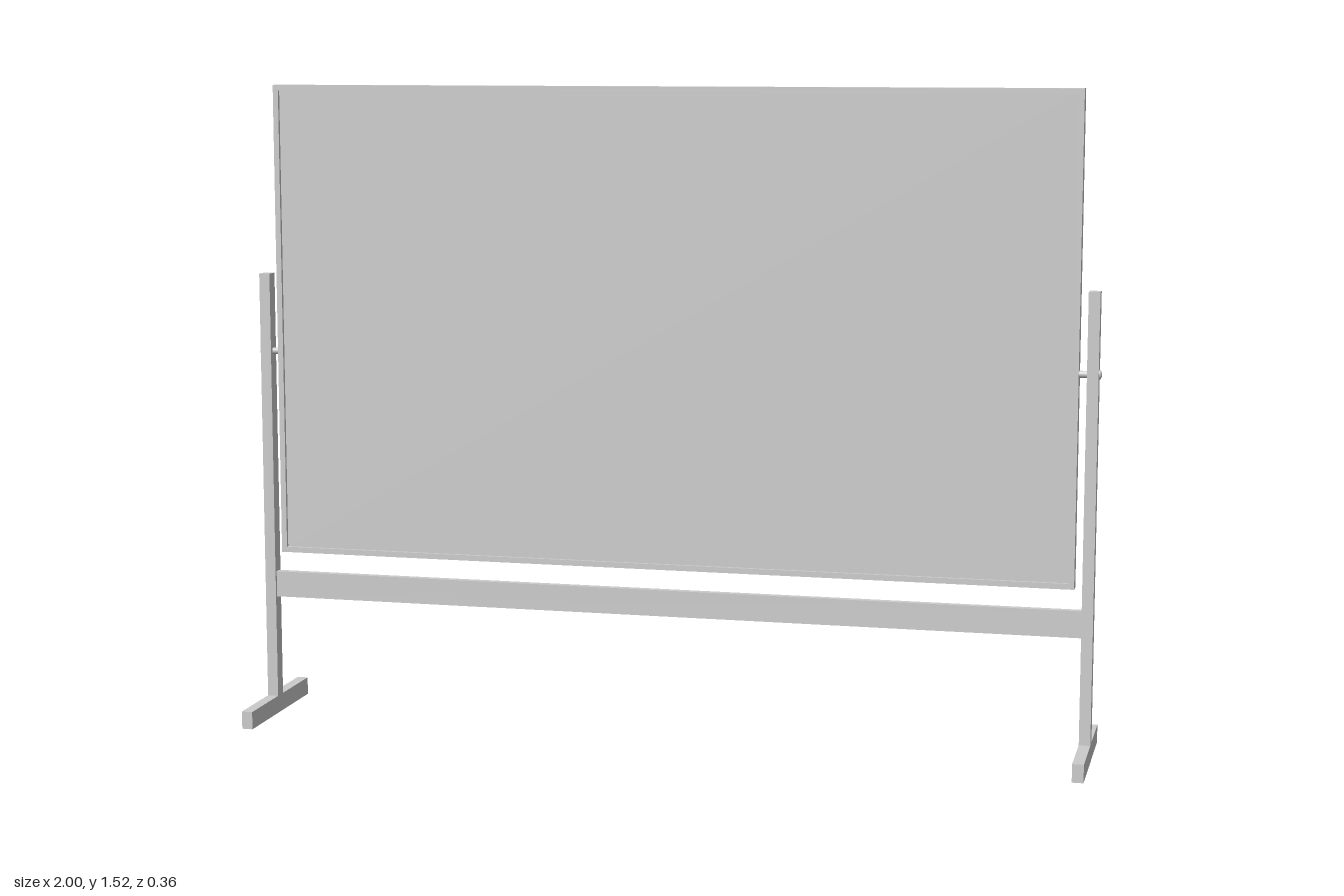
import * as THREE from 'three';

const material = new THREE.MeshStandardMaterial({ color: 0xcccccc });

function add(parent, name, geometry, x = 0, y = 0, z = 0) {
  const mesh = new THREE.Mesh(geometry, material);
  mesh.name = name;
  mesh.position.set(x, y, z);
  parent.add(mesh);
  return mesh;
}

// Rectangle centred on the origin, as a Shape or a hole Path
function rect(Type, w, h) {
  return new Type([[-1, -1], [1, -1], [1, 1], [-1, 1]].map(([x, y]) => new THREE.Vector2(x * w / 2, y * h / 2)));
}

export function createModel() {
  const model = new THREE.Group();
  model.name = 'mobileBoard';

  // Board: a shallow frame standing proud of the writing panel at the front
  const boardW = 1.9, boardH = 1.12, boardY = 0.96, depth = 0.032, recess = 0.008, rim = 0.013;
  const board = new THREE.Group();
  board.name = 'board';
  board.position.y = boardY;
  model.add(board);
  const frame = rect(THREE.Shape, boardW, boardH);
  frame.holes.push(rect(THREE.Path, boardW - 2 * rim, boardH - 2 * rim));
  add(board, 'boardFrame', new THREE.ExtrudeGeometry(frame, { depth: recess, bevelEnabled: false }), 0, 0, depth / 2 - recess);
  add(board, 'writingPanel', new THREE.BoxGeometry(boardW, boardH, depth - recess), 0, 0, -recess / 2);

  // Cross rail joining the two stands
  add(model, 'crossRail', new THREE.BoxGeometry(1.936, 0.062, 0.018), 0, 0.319, 0);

  // Stand profile: upright and foot in one inverted T
  const profile = new THREE.Shape([
    [-0.18, 0], [0.18, 0], [0.18, 0.042], [0.016, 0.042],
    [0.016, 1.073], [-0.016, 1.073], [-0.016, 0.042], [-0.18, 0.042],
  ].map(([x, y]) => new THREE.Vector2(x, y)));
  const width = 0.026;
  const standGeometry = new THREE.ExtrudeGeometry(profile, { depth: width, bevelEnabled: false });
  standGeometry.translate(0, 0, -width / 2).rotateY(Math.PI / 2);

  for (const side of [1, -1]) {
    const stand = new THREE.Group();
    stand.name = side > 0 ? 'leftStand' : 'rightStand';
    model.add(stand);
    add(stand, 'uprightAndFoot', standGeometry, side * 0.981);

    // Pivot pin with a domed head outside the upright
    const pin = add(stand, 'pivotPin', new THREE.CylinderGeometry(0.008, 0.008, 0.05, 24), side * 0.965, 0.887, 0);
    pin.rotation.z = Math.PI / 2;
    const head = add(stand, 'pivotHead', new THREE.SphereGeometry(0.011, 24, 8, 0, Math.PI * 2, 0, Math.PI / 2), side * 0.994, 0.887, 0);
    head.scale.y = 0.55;
    head.rotation.z = -side * Math.PI / 2;
  }
  return model;
}
